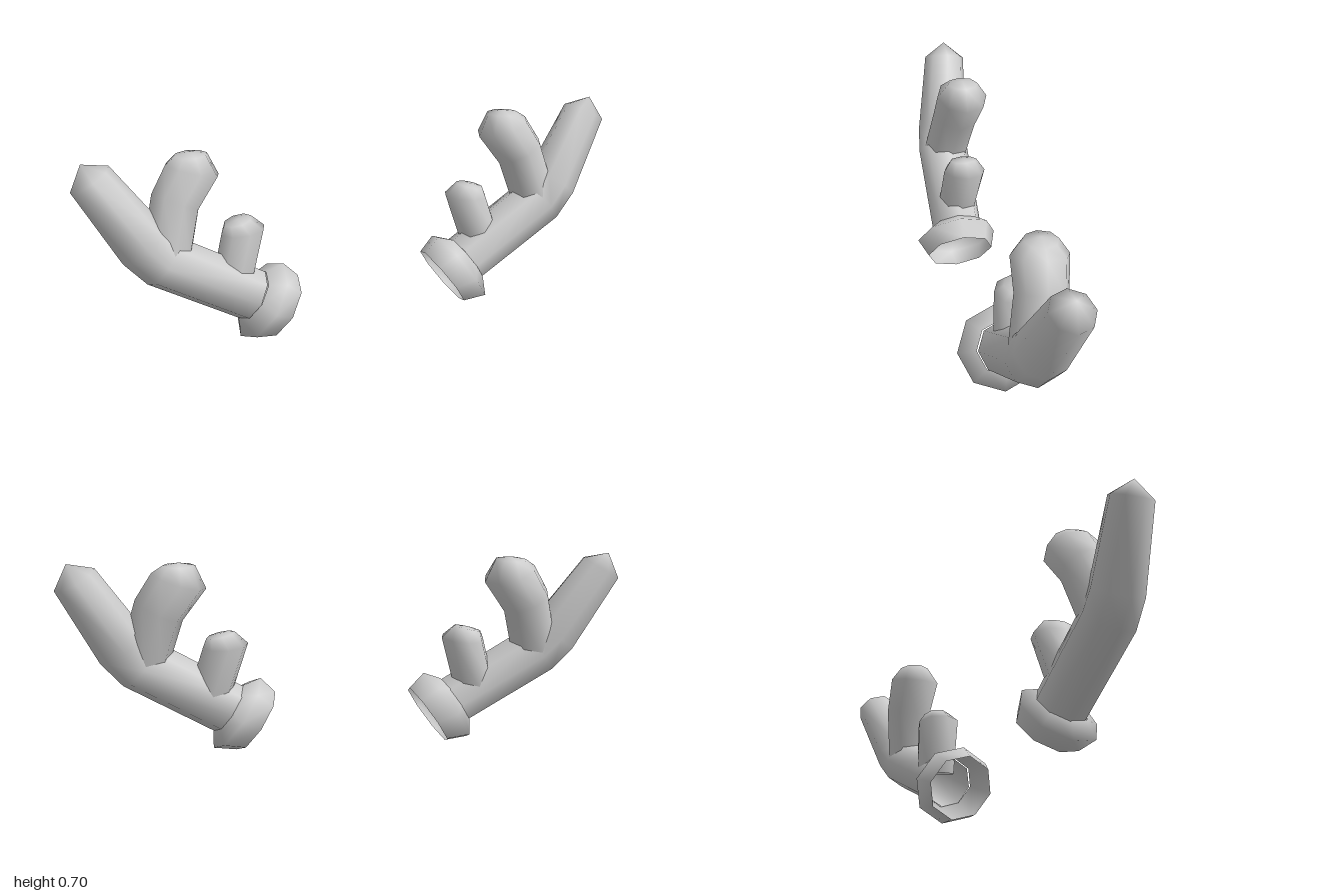
import * as THREE from 'three';

const SIDES = 8;
const PIVOT = [0.4, 0.1, 0];
const material = new THREE.MeshStandardMaterial({ color: 0xcccccc, side: THREE.DoubleSide });

// Each ring is [x, y, z, radius]; a radius of 0 closes the branch in a point.
const PARTS = {
  beam: [[0.405, 0.16, -0.01, 0.093], [0.71, 0.34, -0.028, 0.096], [0.77, 0.405, -0.038, 0.094],
    [0.92, 0.645, -0.083, 0.076], [0.945, 0.698, -0.087, 0]],
  middleTine: [[0.70, 0.34, -0.03, 0.085], [0.645, 0.53, -0.065, 0.088], [0.577, 0.628, -0.075, 0.096],
    [0.577, 0.68, -0.078, 0.056], [0.577, 0.69, -0.078, 0]],
  lowerTine: [[0.475, 0.22, -0.025, 0.072], [0.42, 0.395, -0.045, 0.078],
    [0.437, 0.432, -0.045, 0.05], [0.437, 0.438, -0.045, 0]],
  baseCollar: [[0.312, 0.11, 0, 0.122], [0.378, 0.142, 0, 0.148], [0.41, 0.165, -0.005, 0.093]],
};

// Smooth loft through rings that stand across the path
function branch(rings, side, axis) {
  const points = rings.map(([x, y, z]) =>
    new THREE.Vector3((x - PIVOT[0]) * side, y - PIVOT[1], z - PIVOT[2]));
  const positions = [], index = [];
  rings.forEach(([, , , r], i) => {
    const p = points[i];
    if (r === 0) {
      positions.push(p.x, p.y, p.z);
      return;
    }
    const t = new THREE.Vector3();
    if (axis) t.set(axis[0] * side, axis[1], 0).normalize();
    else {
      if (i > 0) t.add(p.clone().sub(points[i - 1]).normalize());
      if (i < points.length - 1) t.add(points[i + 1].clone().sub(p).normalize());
      t.normalize();
    }
    const u = new THREE.Vector3(0, 0, 1).addScaledVector(t, -t.z).normalize();
    const v = t.clone().cross(u);
    for (let j = 0; j < SIDES; j++) {
      const a = (j / SIDES) * Math.PI * 2;
      const q = p.clone().addScaledVector(u, r * Math.cos(a)).addScaledVector(v, r * Math.sin(a));
      positions.push(q.x, q.y, q.z);
    }
  });
  for (let i = 0; i < rings.length - 1; i++) {
    for (let j = 0; j < SIDES; j++) {
      const a = i * SIDES + j, b = i * SIDES + (j + 1) % SIDES;
      if (rings[i + 1][3] === 0) index.push(a, b, (i + 1) * SIDES);
      else index.push(a, b, a + SIDES, b, b + SIDES, a + SIDES);
    }
  }
  const geometry = new THREE.BufferGeometry();
  geometry.setAttribute('position', new THREE.Float32BufferAttribute(positions, 3));
  geometry.setIndex(index);
  geometry.computeVertexNormals();
  return geometry;
}

function antler(name, side) {
  const group = new THREE.Group();
  group.name = name;
  for (const [part, rings] of Object.entries(PARTS)) {
    const axis = part === 'baseCollar' ? [0.82, 0.57] : null;
    const mesh = new THREE.Mesh(branch(rings, side, axis), material);
    mesh.name = part;
    group.add(mesh);
  }
  group.position.set(PIVOT[0] * side, PIVOT[1], PIVOT[2]);
  return group;
}

export function createModel() {
  const model = new THREE.Group();
  model.name = 'antlers';
  const left = antler('leftAntler', 1);
  // The right antler hangs slightly lower and turns a little forward
  const right = antler('rightAntler', -1);
  right.position.y -= 0.012;
  right.rotation.set(0, 0.03, 0.018);
  model.add(left, right);
  return model;
}
